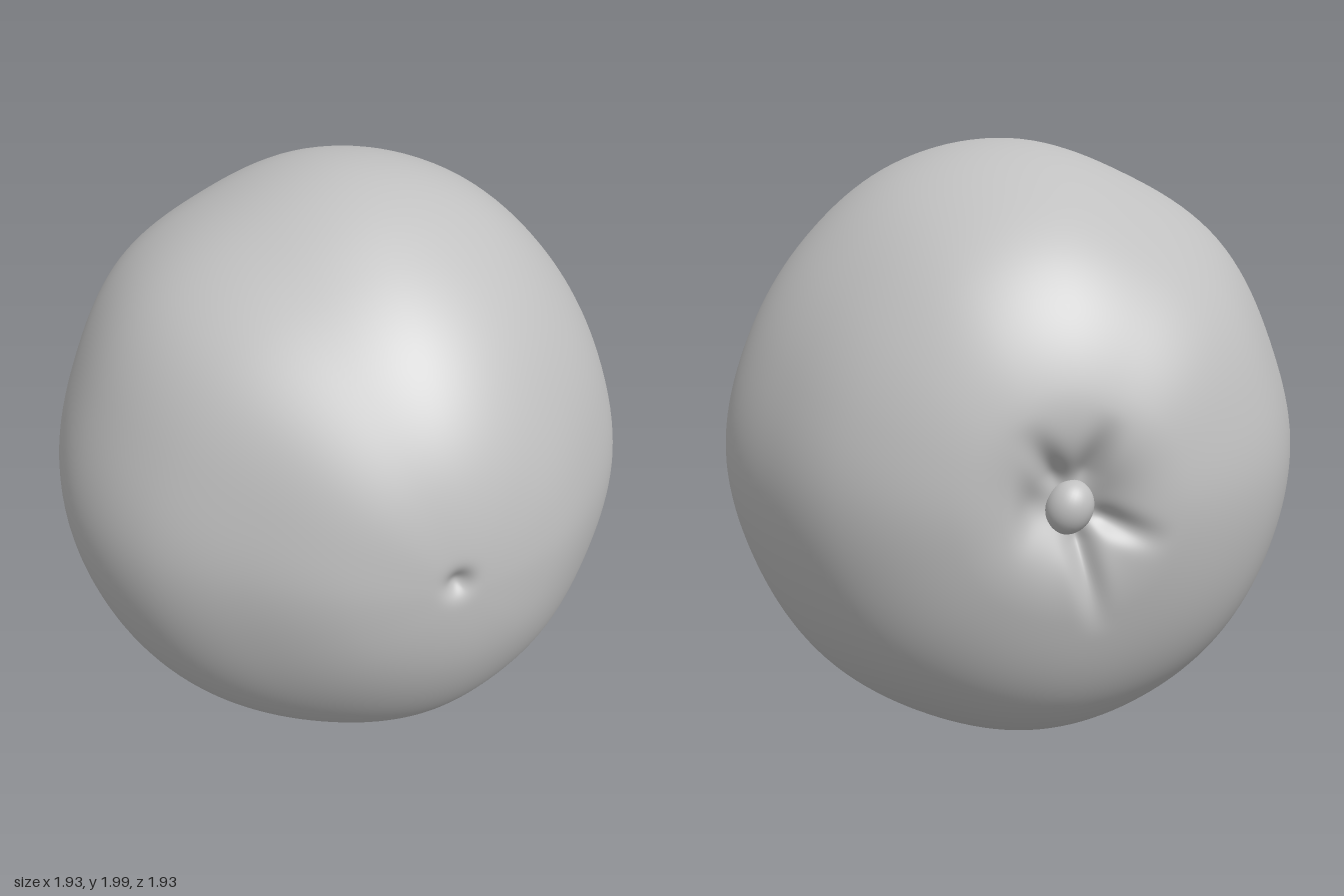
import * as THREE from 'three';
import { mergeVertices } from 'three/addons/utils/BufferGeometryUtils.js';

// Radius every 20 degrees from the front pole (+z) to the back pole (-z),
// along the left (+x), top, right (-x) and bottom meridians
const MERIDIANS = [
  [0.96, 0.945, 0.92, 0.935, 0.95, 0.97, 0.98, 1.015, 1.01, 0.965],
  [0.96, 0.96, 0.955, 0.963, 0.995, 1.0, 1.0, 1.017, 1.005, 0.965],
  [0.96, 0.955, 0.94, 0.97, 0.975, 0.96, 0.97, 1.015, 1.015, 0.965],
  [0.96, 0.97, 0.972, 0.967, 0.985, 1.0, 1.02, 1.04, 1.0, 0.965],
];

// Flattening between the meridians, every 22.5 degrees around z
const GIRTH = [0, -0.02, -0.02, 0, 0, -0.028, -0.01, -0.022, 0, -0.007, -0.006, -0.009, 0, -0.01, 0, -0.007];

// Creases running out of the stem hollow: direction, length, depth, width
const CREASES = [
  [0.0, 0.2, 0.025, 0.06],
  [1.05, 0.3, 0.035, 0.03],
  [1.95, 0.3, 0.035, 0.03],
  [3.55, 0.32, 0.035, 0.028],
  [4.5, 0.42, 0.045, 0.026],
];

const gauss = (d, s) => Math.exp(-(d * d) / (2 * s * s));

// Smooth curve through evenly spaced samples, read by an index function
function smooth(at, u) {
  const i = Math.floor(u), t = u - i;
  const a = at(i - 1), b = at(i), c = at(i + 1), d = at(i + 2);
  return b + 0.5 * t * (c - a + t * (2 * a - 5 * b + 4 * c - d + t * (3 * (b - c) + d - a)));
}

function bodyRadius(theta, phi) {
  // Blend the two neighbouring meridians
  const u = (theta / Math.PI) * 9;
  const along = (m) => smooth((i) => MERIDIANS[m][i < 0 ? -i : i > 9 ? 18 - i : i], u);
  const q = Math.floor(phi / (Math.PI / 2)) % 4;
  const w = Math.cos(phi - q * Math.PI / 2) ** 2;
  let r = along(q) * w + along((q + 1) % 4) * (1 - w);
  r += smooth((i) => GIRTH[(i + 32) % 16], (phi / Math.PI) * 8) * Math.sin(theta) ** 2;

  // Small pit at the front
  const fx = Math.sin(theta) * Math.cos(phi) + 0.02;
  const fy = Math.sin(theta) * Math.sin(phi) - 0.03;
  if (theta < 1) r -= 0.035 * gauss(Math.hypot(fx, fy), 0.03);

  // Stem hollow and its creases at the back
  const d = Math.PI - theta;
  r -= 0.085 * gauss(d, 0.1);
  for (const [dir, length, depth, width] of CREASES) {
    const out = d * Math.cos(phi - dir), side = d * Math.sin(phi - dir);
    if (d > 1 || out < 0) continue;
    const fade = THREE.MathUtils.smoothstep(out, 0.03, 0.13) * (1 - THREE.MathUtils.smoothstep(out, 0.13, length));
    r -= depth * fade * gauss(side, width);
  }
  return r;
}

function makeBody(material) {
  const geo = new THREE.SphereGeometry(1, 160, 150);
  geo.rotateX(Math.PI / 2);
  const pos = geo.attributes.position;
  for (let i = 0; i < pos.count; i++) {
    const t = Math.acos(THREE.MathUtils.clamp(pos.getZ(i), -1, 1));
    // Crowd the rings towards both poles, where the detail is
    const theta = t - 0.35 * Math.sin(2 * t);
    const phi = (Math.atan2(pos.getY(i), pos.getX(i)) + Math.PI * 2) % (Math.PI * 2);
    const r = bodyRadius(theta, phi), s = r * Math.sin(theta);
    pos.setXYZ(i, s * Math.cos(phi), 1 + s * Math.sin(phi), r * Math.cos(theta));
  }
  geo.deleteAttribute('uv');
  geo.deleteAttribute('normal');
  const welded = mergeVertices(geo, 1e-5);
  welded.computeVertexNormals();
  const mesh = new THREE.Mesh(welded, material);
  mesh.name = 'fruitBody';
  return mesh;
}

// Rounded stem button sitting in the hollow
function makeStemButton(material) {
  const mesh = new THREE.Mesh(new THREE.SphereGeometry(0.07, 32, 24), material);
  mesh.scale.set(1, 1.15, 0.95);
  mesh.rotation.z = 0.4;
  mesh.position.set(0, 0.99, -0.888);
  mesh.name = 'stemButton';
  return mesh;
}

export function createModel() {
  const skin = new THREE.MeshStandardMaterial({ color: 0xc0c0c0 });
  skin.name = 'greySkin';
  const fruit = new THREE.Group();
  fruit.name = 'roundFruit';
  fruit.add(makeBody(skin), makeStemButton(skin));
  return fruit;
}
